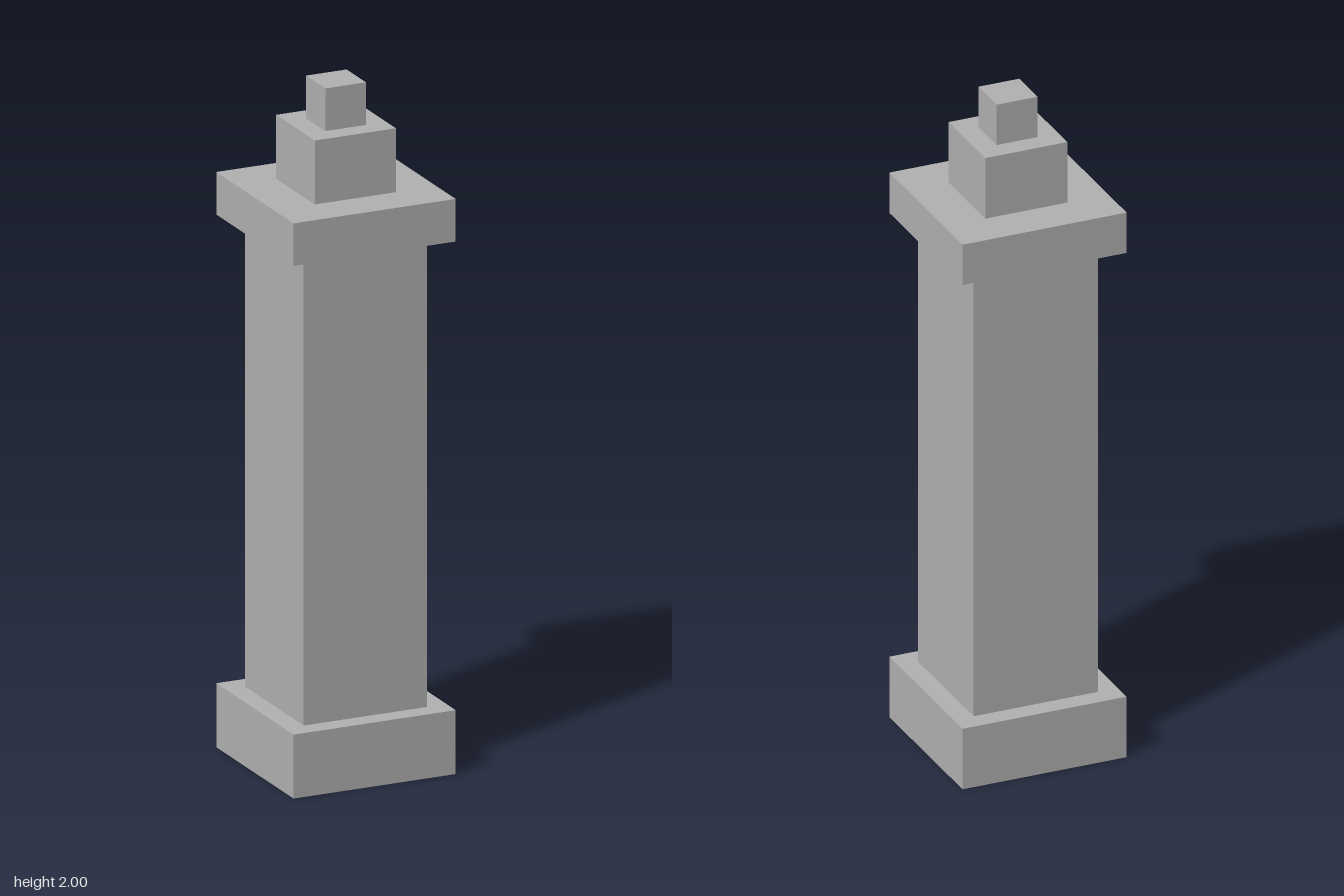
import * as THREE from 'three';

export function createModel() {
  const model = new THREE.Group();
  model.name = 'pillar';

  const stone = new THREE.MeshStandardMaterial({ color: 0xb2b2b2 });
  stone.name = 'grey stone';

  // Square tiers stacked from the ground up: name, width, height
  const tiers = [
    ['base', 0.5, 0.1875],
    ['shaft', 0.38, 1.375],
    ['capital', 0.5, 0.125],
    ['upperBlock', 0.25, 0.1875],
    ['finial', 0.125, 0.125],
  ];

  let y = 0;
  for (const [name, width, height] of tiers) {
    const tier = new THREE.Mesh(new THREE.BoxGeometry(width, height, width), stone);
    tier.name = name;
    tier.position.y = y + height / 2;
    model.add(tier);
    y += height;
  }

  return model;
}
